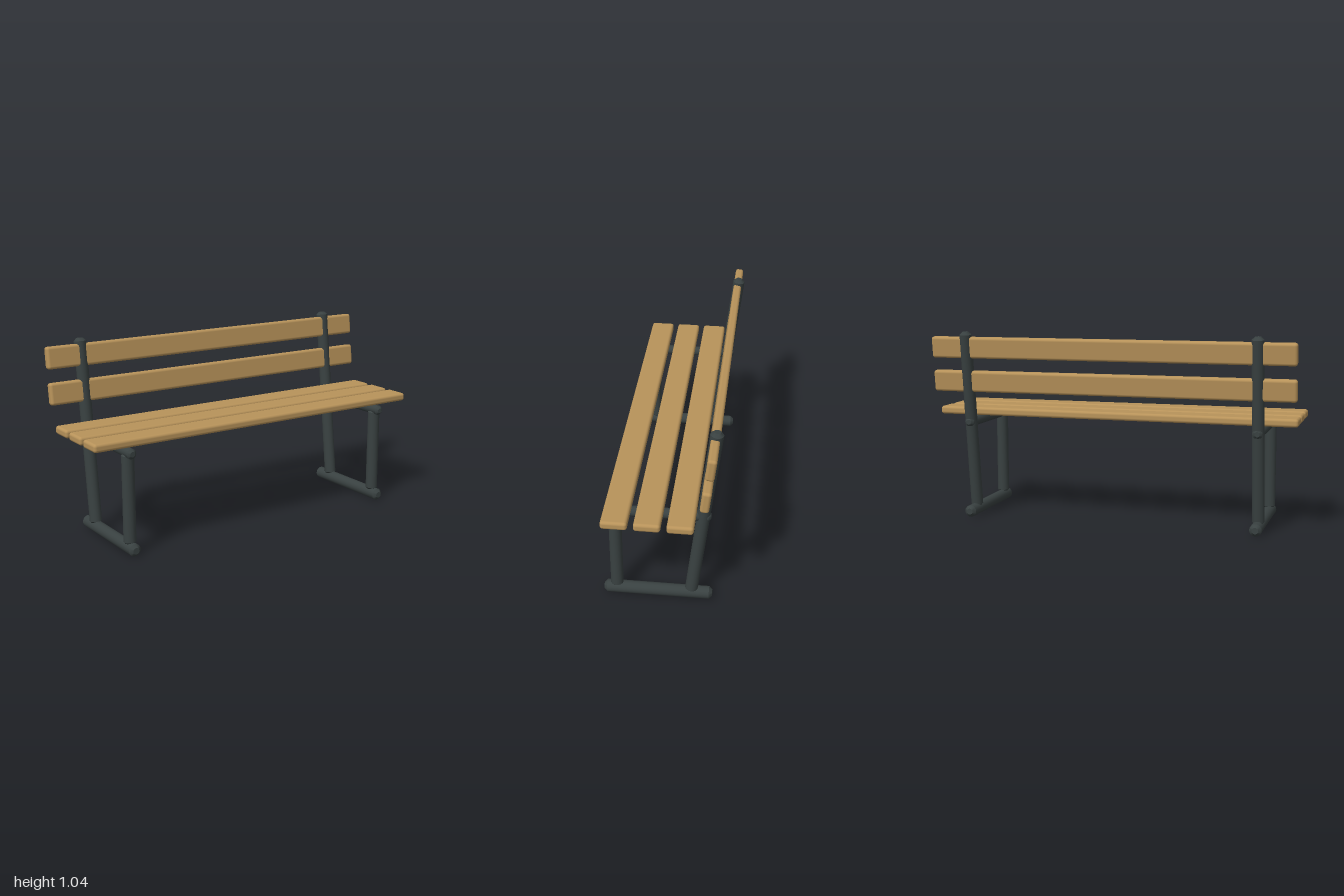
import * as THREE from 'three';
import { toCreasedNormals } from 'three/addons/utils/BufferGeometryUtils.js';
import { RoundedBoxGeometry } from 'three/addons/geometries/RoundedBoxGeometry.js';

const wood = new THREE.MeshStandardMaterial({ name: 'wood', color: 0xb8935a });
const metal = new THREE.MeshStandardMaterial({ name: 'darkMetal', color: 0x394141 });

// Round bar with chamfered ends, running from a to b in the (y, z) plane
function bar(name, x, r, [ya, za], [yb, zb]) {
  const a = new THREE.Vector3(x, ya, za);
  const b = new THREE.Vector3(x, yb, zb);
  const length = a.distanceTo(b);
  const c = r * 0.48; // chamfer
  const h = length / 2;
  const profile = [[0, -h], [r - c, -h], [r, -h + c], [r, h - c], [r - c, h], [0, h]]
    .map(([px, py]) => new THREE.Vector2(px, py));
  const geometry = toCreasedNormals(new THREE.LatheGeometry(profile, 16), 0.6);
  const mesh = new THREE.Mesh(geometry, metal);
  mesh.name = name;
  mesh.position.copy(a).add(b).multiplyScalar(0.5);
  mesh.quaternion.setFromUnitVectors(new THREE.Vector3(0, 1, 0), b.sub(a).normalize());
  return mesh;
}

// Full-length plank with rounded edges
function slat(name, height, depth, y, z, tilt = 0) {
  const mesh = new THREE.Mesh(new RoundedBoxGeometry(2, height, depth, 3, 0.015), wood);
  mesh.name = name;
  mesh.position.set(0, y, z);
  mesh.rotation.x = tilt;
  return mesh;
}

export function createModel() {
  const bench = new THREE.Group();
  bench.name = 'bench';

  // Side frames
  for (const side of [-1, 1]) {
    const x = side * 0.8;
    const frame = new THREE.Group();
    frame.name = side > 0 ? 'leftFrame' : 'rightFrame';
    frame.add(
      bar('foot', x, 0.033, [0.033, 0.3], [0.033, -0.258]),
      bar('frontLeg', x, 0.033, [0.05, 0.234], [0.535, 0.234]),
      bar('backPost', x, 0.033, [0.045, -0.149], [1.035, -0.267]),
      bar('seatRail', x, 0.027, [0.535, 0.287], [0.535, -0.246]),
    );
    bench.add(frame);
  }

  // Seat slats
  for (const z of [0.208, 0.048, -0.112]) bench.add(slat('seatSlat', 0.044, 0.131, 0.589, z));

  // Backrest slats, leaning with the posts
  const lean = -Math.atan2(0.118, 0.99);
  for (const [y, z] of [[0.763, -0.231], [0.949, -0.253]]) {
    bench.add(slat('backSlat', 0.117, 0.045, y, z, lean));
  }
  return bench;
}
